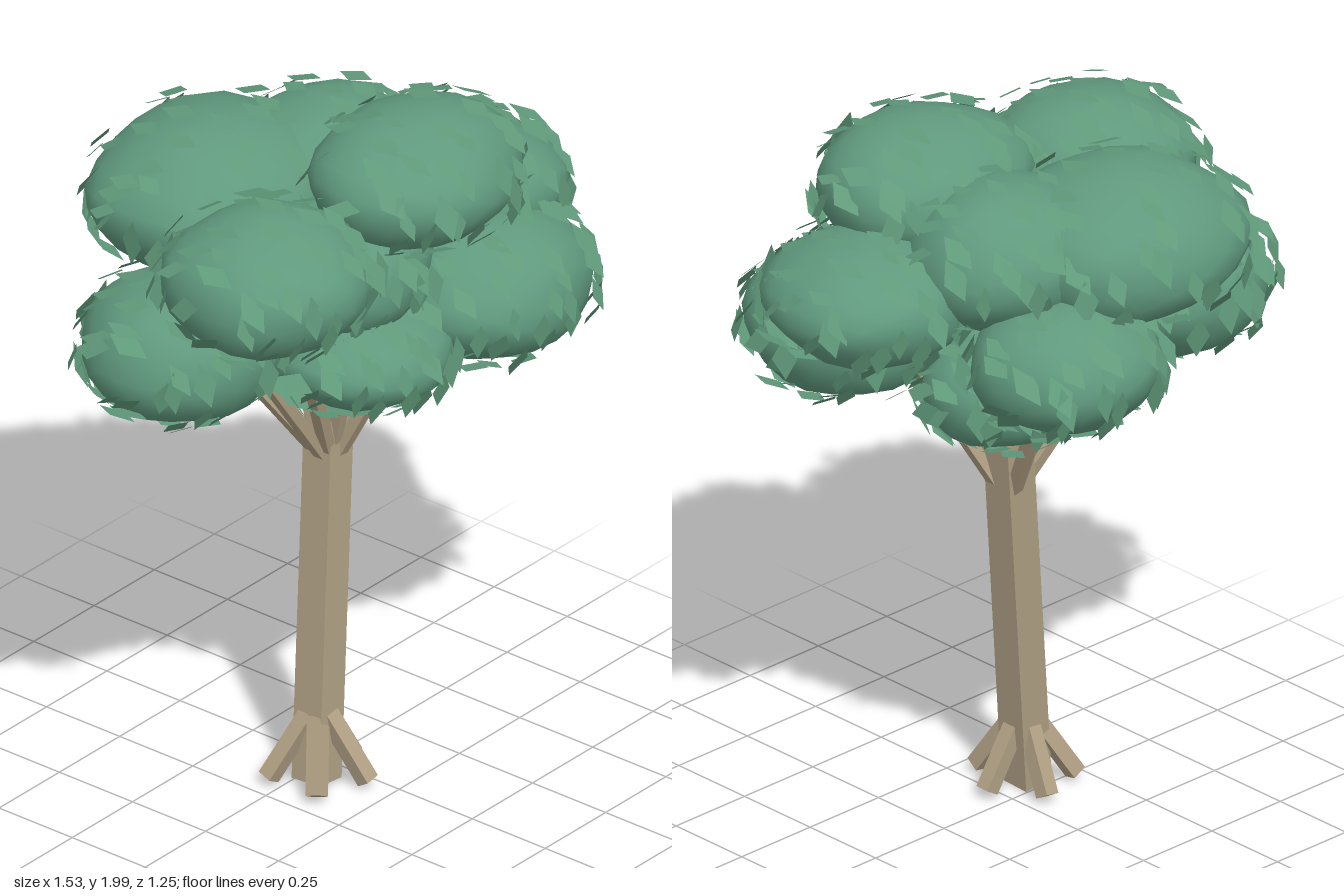
import * as THREE from 'three';
import { mergeGeometries, mergeVertices } from 'three/addons/utils/BufferGeometryUtils.js';

// Crown clumps: centre x, y, z, then radii x, y, z
const CLUMPS = [
  [-0.43, 1.70, 0.15, 0.28, 0.185, 0.28],
  [0.12, 1.81, 0.21, 0.31, 0.175, 0.27],
  [-0.15, 1.71, -0.26, 0.35, 0.21, 0.32],
  [0.30, 1.44, 0.30, 0.30, 0.20, 0.28],
  [0.44, 1.61, 0.10, 0.27, 0.165, 0.28],
  [-0.47, 1.43, -0.11, 0.27, 0.19, 0.27],
  [0.13, 1.71, -0.11, 0.28, 0.20, 0.26],
  [0.15, 1.48, -0.36, 0.26, 0.175, 0.25],
  [0.09, 1.30, -0.08, 0.25, 0.165, 0.22],
  [-0.10, 1.37, 0.20, 0.25, 0.14, 0.25],
  [-0.08, 1.58, 0.10, 0.27, 0.18, 0.25],
];

function seeded(seed) {
  return () => {
    seed = (seed * 16807) % 2147483647;
    return seed / 2147483647;
  };
}

// Square beam between two points, one face kept towards the front
function beam(name, from, to, w, material) {
  const a = new THREE.Vector3(...from), b = new THREE.Vector3(...to);
  const y = b.clone().sub(a).normalize();
  const x = y.clone().cross(new THREE.Vector3(0, 0, 1)).normalize();
  const z = x.clone().cross(y);
  const mesh = new THREE.Mesh(new THREE.BoxGeometry(w, a.distanceTo(b), w), material);
  mesh.quaternion.setFromRotationMatrix(new THREE.Matrix4().makeBasis(x, y, z));
  mesh.position.copy(a).add(b).multiplyScalar(0.5);
  mesh.name = name;
  return mesh;
}

// Slightly lumpy ellipsoid with smooth normals
function clumpGeometry([cx, cy, cz, rx, ry, rz], seed) {
  let g = new THREE.IcosahedronGeometry(1, 3);
  g.deleteAttribute('normal');
  g.deleteAttribute('uv');
  g = mergeVertices(g, 1e-4);
  const p = g.attributes.position;
  for (let i = 0; i < p.count; i++) {
    const x = p.getX(i), y = p.getY(i), z = p.getZ(i);
    const k = 1 + 0.03 * Math.sin(4 * x + seed * 1.7) * Math.cos(5 * z + seed) + 0.02 * Math.sin(6 * y + seed + 3 * x);
    p.setXYZ(i, cx + rx * x * k, cy + ry * y * k, cz + rz * z * k);
  }
  g.computeVertexNormals();
  return g;
}

export function createModel() {
  const tree = new THREE.Group();
  tree.name = 'tree';
  const bark = new THREE.MeshStandardMaterial({ color: 0xb0a084, flatShading: true });
  const green = new THREE.MeshStandardMaterial({ color: 0x60997e });
  const leafGreen = new THREE.MeshStandardMaterial({ color: 0x60997a, side: THREE.DoubleSide, flatShading: true });

  // Leaning trunk
  tree.add(beam('trunk', [-0.1, 0.01, 0.05], [0.05, 1.32, -0.02], 0.094, bark));

  // Five splayed roots
  for (let i = 0; i < 5; i++) {
    const a = (i * 2 * Math.PI) / 5, dx = Math.cos(a), dz = Math.sin(a);
    tree.add(beam('root', [-0.085 + dx * 0.025, 0.2, 0.045 + dz * 0.025],
      [-0.09 + dx * 0.135, 0.025, 0.05 + dz * 0.14], 0.043, bark));
  }

  // Thin branches fanning into the crown
  const tips = [
    [-0.42, 1.46, 0.05], [-0.24, 1.36, 0.13], [0.25, 1.38, 0.17], [0.05, 1.3, 0.21],
    [-0.05, 1.3, 0.12], [0.11, 1.28, -0.22], [-0.28, 1.33, -0.13], [0.04, 1.28, -0.18],
  ];
  for (const [x, y, z] of tips) {
    tree.add(beam('branch', [0.012 + x * 0.05, 0.92, z * 0.1], [x, y, z], 0.032, bark));
  }

  // Foliage clumps
  const crown = new THREE.Group();
  crown.name = 'crown';
  CLUMPS.forEach((c, i) => {
    const mesh = new THREE.Mesh(clumpGeometry(c, i + 1), green);
    mesh.name = 'foliageClump';
    crown.add(mesh);
  });

  // Diamond leaves lying along the clump surfaces
  const shape = new THREE.Shape([[0, -0.055], [0.032, 0], [0, 0.055], [-0.032, 0]].map(([x, y]) => new THREE.Vector2(x, y)));
  const diamond = new THREE.ShapeGeometry(shape);
  const rand = seeded(4711);
  const jitter = (s) => (rand() - 0.5) * s;
  const leaves = [];
  const count = 85;
  CLUMPS.forEach((c, index) => {
    for (let i = 0; i < count; i++) {
      // Even spread over the sphere
      const h = 1 - (2 * (i + 0.5)) / count;
      const a = i * 2.39996 + index + jitter(0.8);
      const r = Math.sqrt(1 - h * h);
      const d = new THREE.Vector3(r * Math.cos(a), h, r * Math.sin(a));
      const k = 1.01 + rand() * 0.1;
      const pos = new THREE.Vector3(c[0] + d.x * c[3] * k, c[1] + d.y * c[4] * k, c[2] + d.z * c[5] * k);
      const buried = CLUMPS.some((o, j) => j !== index &&
        ((pos.x - o[0]) / o[3]) ** 2 + ((pos.y - o[1]) / o[4]) ** 2 + ((pos.z - o[2]) / o[5]) ** 2 < 0.95);
      if (buried || pos.y > 1.985) continue;
      // Leaf normal follows the surface mostly around the sideways axis
      const n = new THREE.Vector3(d.x * 0.3 + jitter(0.4), d.y * 1.4 + 0.15 + jitter(0.4), d.z + jitter(0.4)).normalize();
      const x = new THREE.Vector3(1, 0, jitter(0.4)).projectOnPlane(n).normalize();
      const y = n.clone().cross(x);
      const s = 0.85 + rand() * 0.35;
      const m = new THREE.Matrix4().makeBasis(x, y, n).scale(new THREE.Vector3(s, s, s)).setPosition(pos);
      leaves.push(diamond.clone().applyMatrix4(m));
    }
  });
  const leafMesh = new THREE.Mesh(mergeGeometries(leaves), leafGreen);
  leafMesh.name = 'leaves';
  crown.add(leafMesh);
  tree.add(crown);
  return tree;
}
